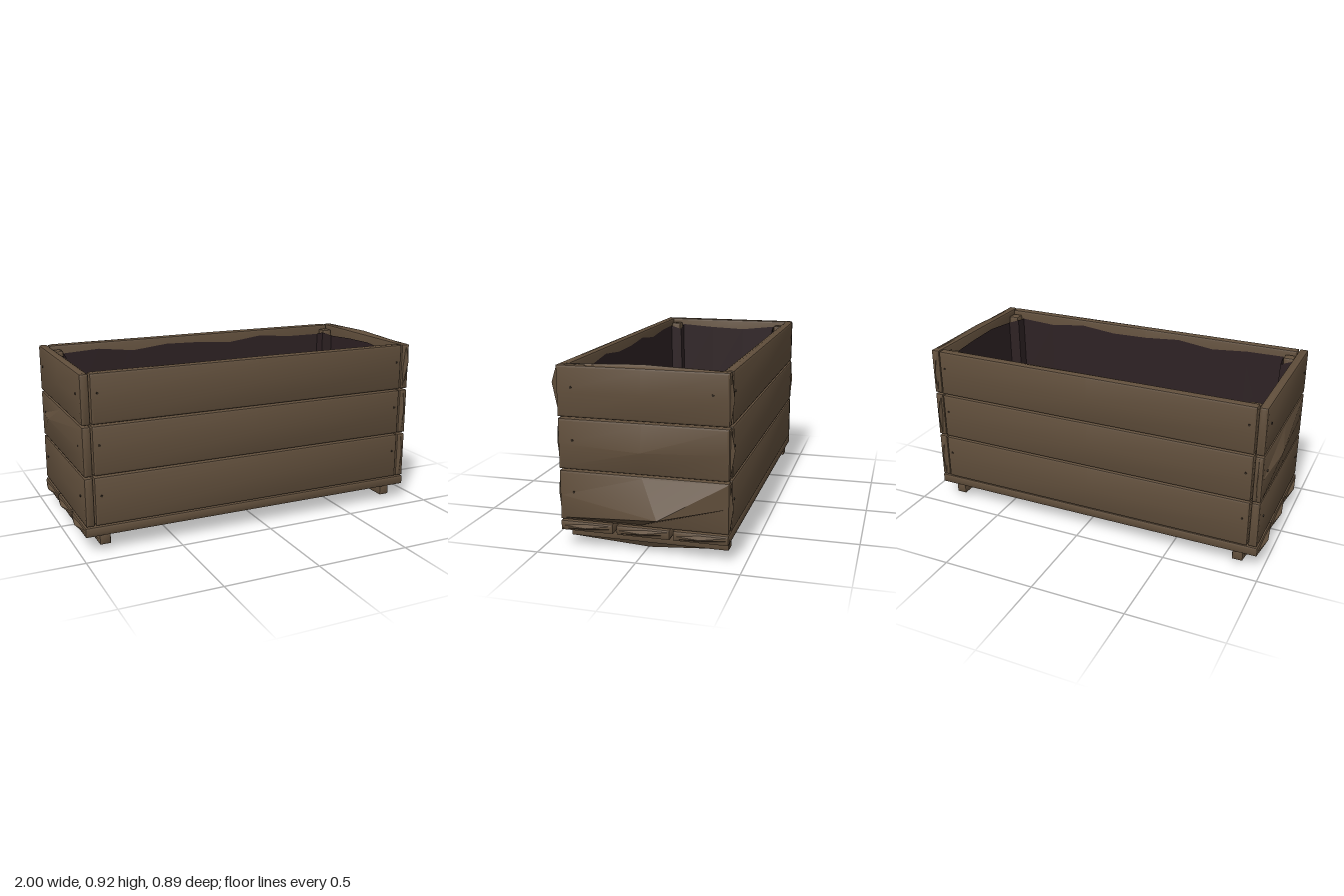
import * as THREE from 'three';
import { toCreasedNormals } from 'three/addons/utils/BufferGeometryUtils.js';

const wood = new THREE.MeshStandardMaterial({ color: 0x604e3b });
wood.name = 'weathered wood';
const cloth = new THREE.MeshStandardMaterial({ color: 0x2d2123, side: THREE.DoubleSide });
cloth.name = 'dark liner';
const iron = new THREE.MeshStandardMaterial({ color: 0x30271e });
iron.name = 'nail iron';

// Worn board between two corners, with soft edges. Each warp is
// [face normal x, y, z, move x, y, z] and shifts the middle of that face.
function board(name, min, max, warps = [], bevel = 0.012) {
  const half = min.map((v, i) => (max[i] - v) / 2);
  const mid = min.map((v, i) => (max[i] + v) / 2);
  const geo = new THREE.BoxGeometry(2, 2, 2, 4, 4, 4);
  const pos = geo.attributes.position;
  for (let i = 0; i < pos.count; i++) {
    const u = [pos.getX(i), pos.getY(i), pos.getZ(i)];
    const outer = u.filter((v) => Math.abs(v) > 0.9).length;
    const p = u.map((v, k) => {
      const a = Math.abs(v);
      const size = a > 0.9 ? half[k] - (outer > 1 ? bevel * 0.3 : 0) : half[k] - bevel;
      return a < 0.1 ? 0 : Math.sign(v) * size;
    });
    for (const w of warps) {
      if (u.every((v, k) => Math.abs(v - w[k]) < 0.01)) p.forEach((v, k) => { p[k] = v + w[k + 3]; });
    }
    pos.setXYZ(i, p[0] + mid[0], p[1] + mid[1], p[2] + mid[2]);
  }
  const mesh = new THREE.Mesh(toCreasedNormals(geo, 0.5), wood);
  mesh.name = name;
  return mesh;
}

// Cloth lining: stacked outlines that step around the corner posts
function liner() {
  const outline = (inset) => {
    const x0 = -0.915 + inset, x1 = 0.845 - inset, z0 = -0.375 + inset, z1 = 0.365 - inset;
    const n = 0.065;
    const corners = [
      [x0 + n, z0], [x1 - n, z0], [x1 - n, z0 + n], [x1, z0 + n],
      [x1, z1 - n], [x1 - n, z1 - n], [x1 - n, z1], [x0 + n, z1],
      [x0 + n, z1 - n], [x0, z1 - n], [x0, z0 + n], [x0 + n, z0 + n],
    ];
    const points = [];
    corners.forEach((a, i) => {
      const b = corners[(i + 1) % corners.length];
      const steps = Math.max(1, Math.round(Math.hypot(b[0] - a[0], b[1] - a[1]) / 0.2));
      for (let s = 0; s < steps; s++) {
        points.push([a[0] + ((b[0] - a[0]) * s) / steps, a[1] + ((b[1] - a[1]) * s) / steps]);
      }
    });
    return points;
  };
  const vertices = [], indices = [];
  const rows = [[0.86, 0.002], [0.5, 0.012], [0.15, 0.022]];
  let count = 0;
  rows.forEach(([y, inset], r) => {
    const points = outline(inset);
    count = points.length;
    points.forEach(([x, z], i) => {
      const wave = r === 0 ? 0.014 * Math.sin(i * 2.3) : 0;
      vertices.push(x, y + wave, z);
    });
  });
  for (let r = 0; r < rows.length - 1; r++) {
    for (let i = 0; i < count; i++) {
      const a = r * count + i, b = r * count + ((i + 1) % count);
      indices.push(a, a + count, b, b, a + count, b + count);
    }
  }
  const walls = new THREE.BufferGeometry();
  walls.setAttribute('position', new THREE.Float32BufferAttribute(vertices, 3));
  walls.setIndex(indices);
  const group = new THREE.Group();
  group.name = 'liner';
  const wallMesh = new THREE.Mesh(toCreasedNormals(walls, 0.5), cloth);
  wallMesh.name = 'linerWalls';
  const floor = new THREE.Mesh(new THREE.PlaneGeometry(1.74, 0.72), cloth);
  floor.name = 'linerFloor';
  floor.rotation.x = -Math.PI / 2;
  floor.position.set(-0.035, 0.152, -0.005);
  group.add(wallMesh, floor);
  return group;
}

// Small nail head facing along x or z
function nail(x, y, z, axis) {
  const mesh = new THREE.Mesh(new THREE.CylinderGeometry(0.006, 0.006, 0.006, 8), iron);
  mesh.name = 'nail';
  mesh.position.set(x, y, z);
  if (axis === 'x') mesh.rotation.z = Math.PI / 2;
  else mesh.rotation.x = Math.PI / 2;
  return mesh;
}

export function createModel() {
  const crate = new THREE.Group();
  crate.name = 'plankPlanter';

  // Three rows of wall planks, the end planks warped with age
  const leftEndWarps = [
    [[1, 0, 0, 0.1, -0.05, -0.1], [0, 0, 1, 0, 0, 0.012], [0, 0, -1, 0, 0, -0.015]],
    [[1, 0, 0, 0.03, -0.01, 0], [0, 0, 1, 0, 0, 0.012], [0, 0, -1, 0, 0.02, -0.02]],
    [[1, 0, 0, 0.008, 0, 0], [0, 0, 1, 0, 0.035, 0.03], [0, 0, -1, 0, 0, -0.015], [0, 1, 0, 0, 0.014, 0]],
  ];
  const rightEndWarps = [
    [[-1, 0, 0, -0.006, 0, 0]],
    [[-1, 0, 0, -0.03, 0.03, -0.15], [0, 0, -1, 0, 0, -0.01]],
    [[-1, 0, 0, -0.006, 0, 0]],
  ];
  for (let row = 0; row < 3; row++) {
    const y0 = 0.142 + row * 0.257, y1 = y0 + 0.252;
    crate.add(
      board('frontPlank', [-0.92, y0, 0.365], [0.85, y1, 0.415], [[0, 0, 1, 0, 0, 0.006], [0, 1, 0, 0.1, 0.004, 0]]),
      board('backPlank', [-0.92, y0, -0.43], [0.85, y1, -0.38], [[0, 0, -1, 0, 0, -0.008], [0, 1, 0, 0.1, 0.004, 0]]),
      board('leftEndPlank', [0.853, y0, -0.425], [0.902, y1, 0.415], leftEndWarps[row]),
      board('rightEndPlank', [-0.97, y0, -0.425], [-0.923, y1, 0.415], rightEndWarps[row]),
    );
    const y = y0 + 0.125;
    for (const z of [-0.345, 0.34]) {
      crate.add(nail(0.903, y + 0.02, z, 'x'), nail(-0.971, y + 0.02, z, 'x'));
    }
    for (const x of [-0.885, 0.82]) {
      crate.add(nail(x, y + 0.03, 0.4155, 'z'), nail(x, y + 0.03, -0.4305, 'z'));
    }
  }

  // Corner posts
  for (const x of [-0.887, 0.817]) {
    for (const z of [-0.347, 0.334]) {
      crate.add(board('cornerPost', [x - 0.03, 0.14, z - 0.03], [x + 0.03, 0.885, z + 0.03]));
    }
  }

  // Floor boards, the middle one sagging below and lifting through the liner
  const endWarps = [[1, 0, 0, 0.02, 0, 0], [-1, 0, 0, -0.02, 0, 0]];
  const middleWarps = [[0, -1, 0, -0.06, -0.06, 0], [0, 1, 0, 0.2, 0.015, 0], ...endWarps];
  crate.add(
    board('floorBoard', [-0.975, 0.087, 0.145], [0.905, 0.14, 0.415], endWarps),
    board('floorBoard', [-0.975, 0.087, -0.14], [0.905, 0.14, 0.13], middleWarps),
    board('floorBoard', [-0.975, 0.087, -0.425], [0.905, 0.14, -0.152], endWarps),
  );

  // Runners underneath
  crate.add(
    board('leftRunner', [0.765, 0.03, -0.41], [0.825, 0.09, 0.395], [[0, -1, 0, 0, -0.03, 0]]),
    board('rightRunner', [-0.9, 0.03, -0.41], [-0.84, 0.09, 0.395],
      [[0, -1, 0, 0, -0.02, 0], [1, 0, 0, 0.04, 0, 0], [-1, 0, 0, -0.05, -0.01, 0]]),
  );

  crate.add(liner());
  return crate;
}
